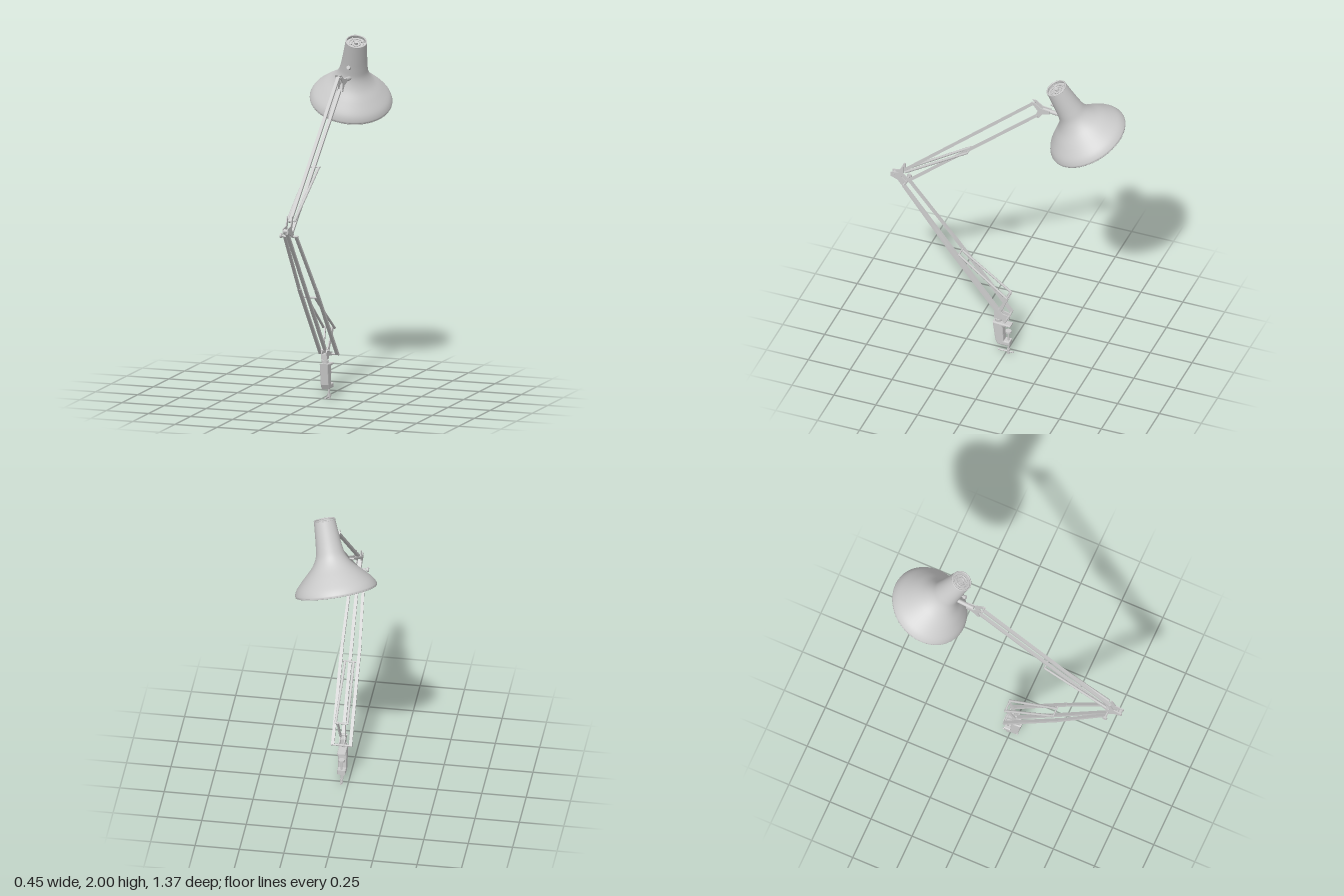
import * as THREE from 'three';

const grey = new THREE.MeshStandardMaterial({ color: 0xcccccc, side: THREE.DoubleSide });
const CX = 0.037; // plane of the arm
const V = (x, y, z) => new THREE.Vector3(x, y, z);

export function createModel() {
  const model = new THREE.Group();

  const add = (name, geometry, parent = model) => {
    const mesh = new THREE.Mesh(geometry, grey);
    mesh.name = name;
    parent.add(mesh);
    return mesh;
  };
  const span = (mesh, a, b) => {
    mesh.position.copy(a).add(b).multiplyScalar(0.5);
    mesh.lookAt(b);
    return mesh;
  };
  // Square bar and round rod between two points
  const bar = (name, a, b, w = 0.018, h = 0.013) =>
    span(add(name, new THREE.BoxGeometry(w, h, a.distanceTo(b))), a, b);
  const rod = (name, a, b, r0 = 0.005, r1 = r0) =>
    span(add(name, new THREE.CylinderGeometry(r1, r0, a.distanceTo(b), 12).rotateX(Math.PI / 2)), a, b);
  // Cross pin along x
  const pin = (name, y, z, x0, x1, r = 0.005) => rod(name, V(x0, y, z), V(x1, y, z), r);
  // Flat plate drawn in (z, y), centred on x
  const plate = (name, pts, x, t, bevel = 0) => {
    const shape = new THREE.Shape(pts.map(p => new THREE.Vector2(p[0], p[1])));
    const g = new THREE.ExtrudeGeometry(shape, {
      depth: t, bevelEnabled: bevel > 0, bevelSize: bevel, bevelThickness: bevel, bevelOffset: -bevel, bevelSegments: 2
    });
    g.translate(0, 0, -t / 2).rotateY(-Math.PI / 2);
    add(name, g).position.x = x;
  };

  // Table clamp
  plate('clampBody', [[0.072, 0.212], [-0.035, 0.205], [-0.035, 0.196], [0.012, 0.19], [0.006, 0.092],
    [-0.03, 0.092], [-0.03, 0.064], [0.042, 0.064], [0.056, 0.09]], CX, 0.036, 0.006);
  rod('clampScrew', V(CX, 0.01, -0.015), V(CX, 0.155, -0.015), 0.006);
  rod('clampPad', V(CX, 0.145, -0.015), V(CX, 0.156, -0.015), 0.018);
  rod('clampHandle', V(CX, 0.012, -0.046), V(CX, 0.012, 0.046), 0.005);
  rod('clampHandleHub', V(CX, 0, -0.015), V(CX, 0.03, -0.015), 0.009);
  rod('swivelPost', V(CX, 0.2, 0.045), V(CX, 0.25, 0.045), 0.013);
  rod('swivelCollar', V(CX, 0.215, 0.045), V(CX, 0.23, 0.045), 0.02);

  // Base bracket with the strut that carries the lower springs
  for (const s of [-1, 1]) {
    plate('baseBracket', [[0.062, 0.235], [0.066, 0.275], [0.04, 0.3], [0.015, 0.275], [-0.025, 0.265], [-0.025, 0.245], [0.02, 0.25]],
      CX + s * 0.014, 0.006);
    bar('springStrut', V(CX + s * 0.014, 0.28, 0.035), V(CX + s * 0.022, 0.405, -0.018), 0.007, 0.018);
  }
  add('baseBlock', new THREE.BoxGeometry(0.03, 0.03, 0.04)).position.set(CX, 0.25, 0.045);
  pin('basePin', 0.285, 0.045, CX - 0.024, CX + 0.024);
  pin('baseCrossBar', 0.255, -0.016, CX - 0.06, CX + 0.06, 0.006);
  pin('lowerSpringBar', 0.403, -0.018, CX - 0.04, CX + 0.04);
  pin('lowerSpringCrossPin', 0.625, 0.272, CX - 0.037, CX + 0.037);

  // Lower arm: a central rod and two outer rods that close in at the elbow
  bar('lowerFrontRod', V(CX, 0.29, 0.048), V(CX, 1.055, 0.65));
  for (const s of [-1, 1]) {
    const a = V(CX + s * 0.05, 0.255, -0.016), b = V(CX + s * 0.05, 0.68, 0.325), c = V(CX + s * 0.034, 1.03, 0.6);
    bar('lowerOuterRod', a, b, 0.018, 0.014);
    bar('lowerOuterRod', b, c, 0.016, 0.013);
    rod('lowerSpring', V(CX + s * 0.033, 0.403, -0.018), V(CX + s * 0.024, 0.625, 0.272), 0.007);
    rod('upperSpring', V(CX + s * 0.021, 1.115, 0.59), V(CX + s * 0.028, 1.355, 0.22), 0.008, 0.007);
  }

  // Elbow joint
  for (const s of [-1, 1]) {
    plate('elbowPlate', [[0.683, 1.06], [0.683, 1.085], [0.635, 1.095], [0.615, 1.145], [0.604, 1.145], [0.605, 1.105],
      [0.62, 1.07], [0.585, 1.04], [0.59, 1.02], [0.645, 1.045]], CX + s * 0.014, 0.006);
  }
  pin('elbowCrossBar', 1.03, 0.598, CX - 0.045, CX + 0.045, 0.006);
  pin('elbowKnob', 1.03, 0.598, CX - 0.06, CX - 0.05, 0.014);
  pin('elbowKnobStem', 1.03, 0.598, CX - 0.05, CX - 0.04, 0.006);
  pin('elbowFrontPin', 1.07, 0.668, CX - 0.018, CX + 0.018, 0.012);
  pin('elbowTopPin', 1.115, 0.59, CX - 0.028, CX + 0.028);
  pin('upperSpringCrossPin', 1.355, 0.22, CX - 0.035, CX + 0.035);

  // Upper arm
  bar('upperTopRod', V(CX, 1.11, 0.605), V(CX, 1.79, -0.165));
  bar('upperBottomRod', V(CX, 1.035, 0.59), V(CX, 1.715, -0.19));

  // Head bracket
  for (const s of [-1, 1]) {
    plate('headBracket', [[-0.155, 1.805], [-0.175, 1.805], [-0.215, 1.775], [-0.265, 1.77], [-0.265, 1.75], [-0.225, 1.74],
      [-0.2, 1.705], [-0.18, 1.71], [-0.195, 1.755]], CX + s * 0.013, 0.006);
  }
  pin('headTopPin', 1.792, -0.168, CX - 0.02, CX + 0.02);
  pin('headBottomPin', 1.717, -0.19, CX - 0.02, CX + 0.02);
  rod('headStem', V(CX, 1.762, -0.225), V(0.045, 1.76, -0.34), 0.012);
  rod('shadeKnobStem', V(0.055, 1.815, -0.35), V(0.055, 1.826, -0.29), 0.005);
  rod('shadeKnob', V(0.055, 1.824, -0.295), V(0.055, 1.83, -0.278), 0.011);

  // Lamp head, built along its own axis from the rim centre upward
  const head = new THREE.Group();
  head.name = 'lampHead';
  head.position.set(-0.003, 1.61, -0.477);
  head.quaternion.setFromUnitVectors(V(0, 1, 0), V(0.222, 0.895, 0.388).normalize());
  model.add(head);
  const outer = new THREE.SplineCurve([[0.229, 0], [0.23, 0.012], [0.212, 0.045], [0.165, 0.095], [0.115, 0.145],
    [0.085, 0.195], [0.074, 0.25], [0.066, 0.33], [0.06, 0.405]].map(p => new THREE.Vector2(...p))).getPoints(40);
  add('shade', new THREE.LatheGeometry(outer, 48), head);
  const inner = outer.map(p => new THREE.Vector2(p.x - 0.005, p.y));
  add('shadeLining', new THREE.LatheGeometry(inner.reverse(), 48), head);
  add('shadeRim', new THREE.TorusGeometry(0.2265, 0.004, 8, 48).rotateX(Math.PI / 2), head);

  // Vented cap at the top of the shade
  add('capPlate', new THREE.CylinderGeometry(0.058, 0.058, 0.006, 32), head).position.y = 0.385;
  for (const r of [0.057, 0.04, 0.024]) {
    add('capRing', new THREE.TorusGeometry(r, 0.004, 8, 32).rotateX(Math.PI / 2), head).position.y = r > 0.05 ? 0.404 : 0.392;
  }
  for (let i = 0; i < 4; i++) {
    const a = i * Math.PI / 2 + Math.PI / 4;
    const rib = add('capRib', new THREE.BoxGeometry(0.03, 0.006, 0.005), head);
    rib.position.set(Math.cos(a) * 0.04, 0.392, -Math.sin(a) * 0.04);
    rib.rotation.y = a;
  }
  add('capButton', new THREE.CylinderGeometry(0.011, 0.011, 0.014, 16), head).position.y = 0.394;

  // Socket and bulb
  add('socket', new THREE.CylinderGeometry(0.035, 0.035, 0.19, 24), head).position.y = 0.29;
  const bulb = new THREE.SplineCurve([[0, 0.03], [0.034, 0.04], [0.057, 0.072], [0.056, 0.105], [0.038, 0.145], [0.027, 0.2]]
    .map(p => new THREE.Vector2(...p))).getPoints(20);
  add('bulb', new THREE.LatheGeometry(bulb, 24), head);

  return model;
}
